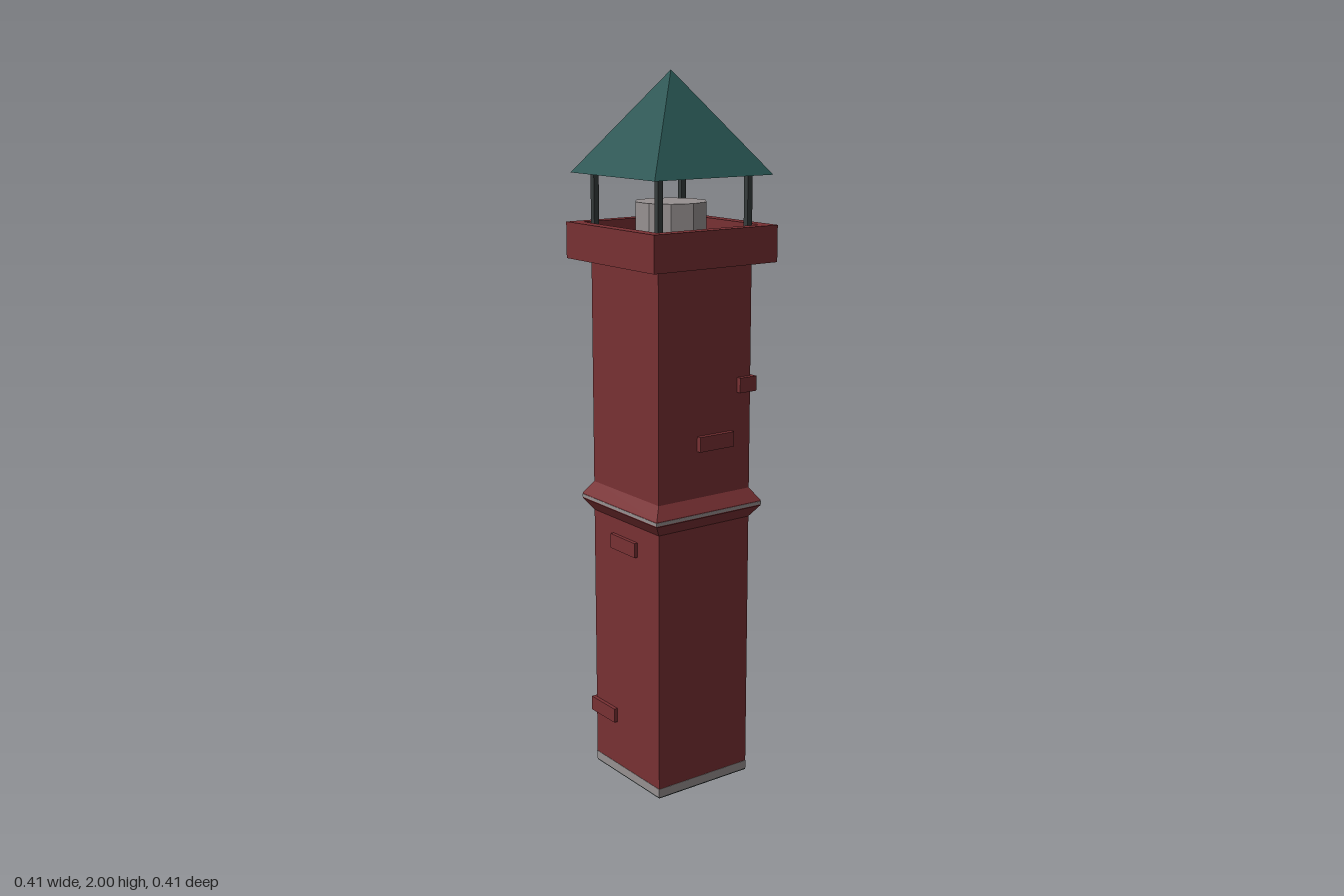
import * as THREE from 'three';

const material = (name, color) => {
  const m = new THREE.MeshStandardMaterial({ color });
  m.name = name;
  return m;
};

export function createModel() {
  const brick = material('brick red', 0x783033);
  const mortar = material('mortar grey', 0x969090);
  const roofGreen = material('roof green', 0x285553);
  const iron = material('dark iron', 0x363c3c);
  const group = new THREE.Group();

  const add = (name, geometry, mat, x = 0, y = 0, z = 0) => {
    const mesh = new THREE.Mesh(geometry, mat);
    mesh.name = name;
    mesh.position.set(x, y, z);
    group.add(mesh);
    return mesh;
  };
  // Box given by its bottom and top heights
  const block = (name, mat, w, y0, y1, d = w, x = 0, z = 0) =>
    add(name, new THREE.BoxGeometry(w, y1 - y0, d), mat, x, (y0 + y1) / 2, z);

  // Square shaft on a thin grey footing with a dark underside
  block('underside', iron, 0.312, 0, 0.004);
  block('footing', mortar, 0.314, 0.004, 0.028);
  block('shaft', brick, 0.312, 0.028, 1.5);

  // Pointed belt course around the middle, with a pale joint on its ridge
  const profile = [[0.155, 0.775], [0.18, 0.81], [0.18, 0.825], [0.155, 0.862]]
    .map(([r, y]) => new THREE.Vector2(r * Math.SQRT2, y));
  const belt = new THREE.LatheGeometry(profile, 4, Math.PI / 4).toNonIndexed();
  belt.computeVertexNormals();
  add('beltCourse', belt, brick);
  block('beltJoint', mortar, 0.362, 0.813, 0.822);

  // Hollow parapet: square ring with a dark deck inside
  const ring = new THREE.Shape();
  const square = (path, s) => path.moveTo(-s, -s).lineTo(s, -s).lineTo(s, s).lineTo(-s, s).closePath();
  square(ring, 0.205);
  const hole = new THREE.Path();
  square(hole, 0.17);
  ring.holes.push(hole);
  const parapet = new THREE.ExtrudeGeometry(ring, { depth: 0.1, bevelEnabled: false });
  parapet.rotateX(-Math.PI / 2);
  add('parapet', parapet, brick, 0, 1.495, 0);
  block('parapetBase', brick, 0.345, 1.495, 1.505);
  block('deck', iron, 0.34, 1.505, 1.515);

  // Ten-sided flue
  const flue = new THREE.CylinderGeometry(0.1, 0.1, 0.145, 10, 1, false, Math.PI / 2).toNonIndexed();
  flue.computeVertexNormals();
  add('flue', flue, mortar, 0, 1.5825, 0);

  // Corner posts carrying the pyramid roof
  for (const sx of [-1, 1]) for (const sz of [-1, 1])
    block('roofPost', iron, 0.016, 1.51, 1.735, 0.016, sx * 0.148, sz * 0.148);
  const roof = new THREE.ConeGeometry(0.195 * Math.SQRT2, 0.272, 4).toNonIndexed();
  roof.rotateY(Math.PI / 4);
  roof.computeVertexNormals();
  add('roof', roof, roofGreen, 0, 1.864, 0);

  // Proud bricks: face axis, side, position along the face, height, reach
  const bricks = [
    ['z', 1, -0.002, 0.71, 0.167], ['z', 1, -0.108, 0.18, 0.167],
    ['z', -1, 0.045, 1.215, 0.166], ['z', -1, -0.006, 1.16, 0.166],
    ['z', -1, 0, 0.435, 0.166],
    ['x', 1, -0.032, 1.013, 0.17],
    ['x', -1, -0.03, 1.415, 0.174], ['x', -1, 0.005, 0.51, 0.182],
    ['x', -1, 0.03, 0.445, 0.174],
  ];
  for (const [axis, side, along, y, reach] of bricks) {
    const depth = 0.05, c = side * (reach - depth / 2);
    if (axis === 'z') block('proudBrick', brick, 0.117, y - 0.021, y + 0.021, depth, along, c);
    else block('proudBrick', brick, depth, y - 0.021, y + 0.021, 0.117, c, along);
  }
  // Brick wrapping the back corner
  block('cornerBrick', brick, 0.117, 1.139, 1.181, 0.057, 0.1115, -0.1385);

  return group;
}
